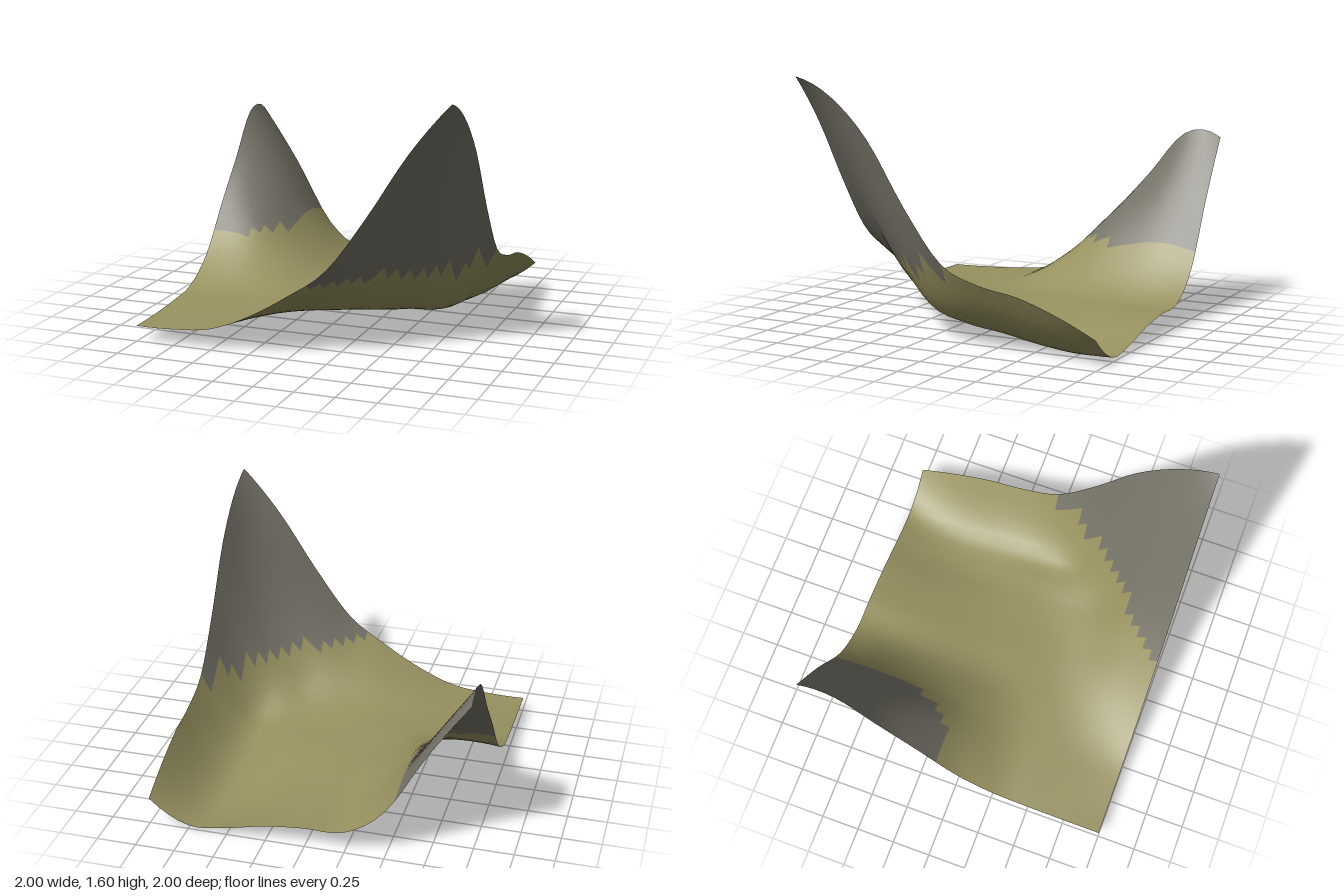
import * as THREE from 'three';

const CELLS = 32;

// Control heights: rows run from back (z = -1) to front (z = 1), columns from x = -1 to x = 1
const HEIGHTS = [
  [1.13, 0.76, 0.335, 0.148, 0.134, 0.105, 0.05, 0.027, 0.18],
  [1.147, 0.775, 0.385, 0.158, 0.125, 0.08, 0.015, 0.03, 0.295],
  [0.865, 0.665, 0.365, 0.17, 0.122, 0.077, 0.023, 0.065, 0.38],
  [0.59, 0.515, 0.32, 0.175, 0.13, 0.09, 0.063, 0.11, 0.425],
  [0.30, 0.31, 0.24, 0.155, 0.135, 0.113, 0.105, 0.15, 0.53],
  [0.155, 0.16, 0.155, 0.145, 0.135, 0.13, 0.16, 0.265, 0.85],
  [0.12, 0.127, 0.13, 0.14, 0.165, 0.21, 0.305, 0.61, 1.24],
  [0.105, 0.11, 0.122, 0.175, 0.265, 0.385, 0.62, 0.98, 1.485],
  [0.10, 0.105, 0.135, 0.24, 0.39, 0.575, 0.915, 1.30, 1.6],
];

// Smooth curve through evenly spaced values, t from 0 to 1
function smooth(values, t) {
  const n = values.length - 1;
  const i = Math.min(Math.floor(t * n), n - 1);
  const f = t * n - i;
  const b = values[i], c = values[i + 1];
  const a = i > 0 ? values[i - 1] : 3 * b - 3 * c + values[i + 2];
  const d = i < n - 1 ? values[i + 2] : 3 * c - 3 * b + values[i - 1];
  return b + 0.5 * f * (c - a + f * (2 * a - 5 * b + 4 * c - d + f * (3 * (b - c) + d - a)));
}

const heightAt = (x, z) => smooth(HEIGHTS.map((row) => smooth(row, (x + 1) / 2)), (z + 1) / 2);

// Bare rock: columns below the back left limit or from the front right limit on, row by row
const BACK_ROCK = [7, 7, 7, 7, 7, 7, 7, 7, 7, 7, 6, 6, 5, 4];
const FRONT_ROCK = [31, 31, 31, 30, 29, 29, 28, 27, 26, 25, 24, 22, 21, 20, 19, 18];
const isRock = (col, row) =>
  col < (BACK_ROCK[row] ?? 0) || col >= (FRONT_ROCK[row - 16] ?? CELLS);

export function createModel() {
  const grass = new THREE.MeshStandardMaterial({ color: 0x989260, side: THREE.DoubleSide });
  grass.name = 'olive grass';
  const rock = new THREE.MeshStandardMaterial({ color: 0x767368, side: THREE.DoubleSide });
  rock.name = 'grey rock';

  // Terrain sheet
  const geometry = new THREE.PlaneGeometry(2, 2, CELLS, CELLS).rotateX(-Math.PI / 2);
  const position = geometry.attributes.position;
  for (let i = 0; i < position.count; i++) {
    position.setY(i, heightAt(position.getX(i), position.getZ(i)));
  }
  geometry.computeBoundingBox();
  geometry.translate(0, -geometry.boundingBox.min.y, 0);
  geometry.computeVertexNormals();

  // Sort the cells into grass and rock
  const cells = [[], []];
  for (let row = 0; row < CELLS; row++) {
    for (let col = 0; col < CELLS; col++) {
      const start = (row * CELLS + col) * 6;
      for (let k = 0; k < 6; k++) cells[isRock(col, row) ? 1 : 0].push(geometry.index.getX(start + k));
    }
  }
  geometry.setIndex([...cells[0], ...cells[1]]);
  geometry.clearGroups();
  geometry.addGroup(0, cells[0].length, 0);
  geometry.addGroup(cells[0].length, cells[1].length, 1);

  const terrain = new THREE.Mesh(geometry, [grass, rock]);
  terrain.name = 'terrain';
  const model = new THREE.Group();
  model.name = 'hillyLandscape';
  model.add(terrain);
  return model;
}
